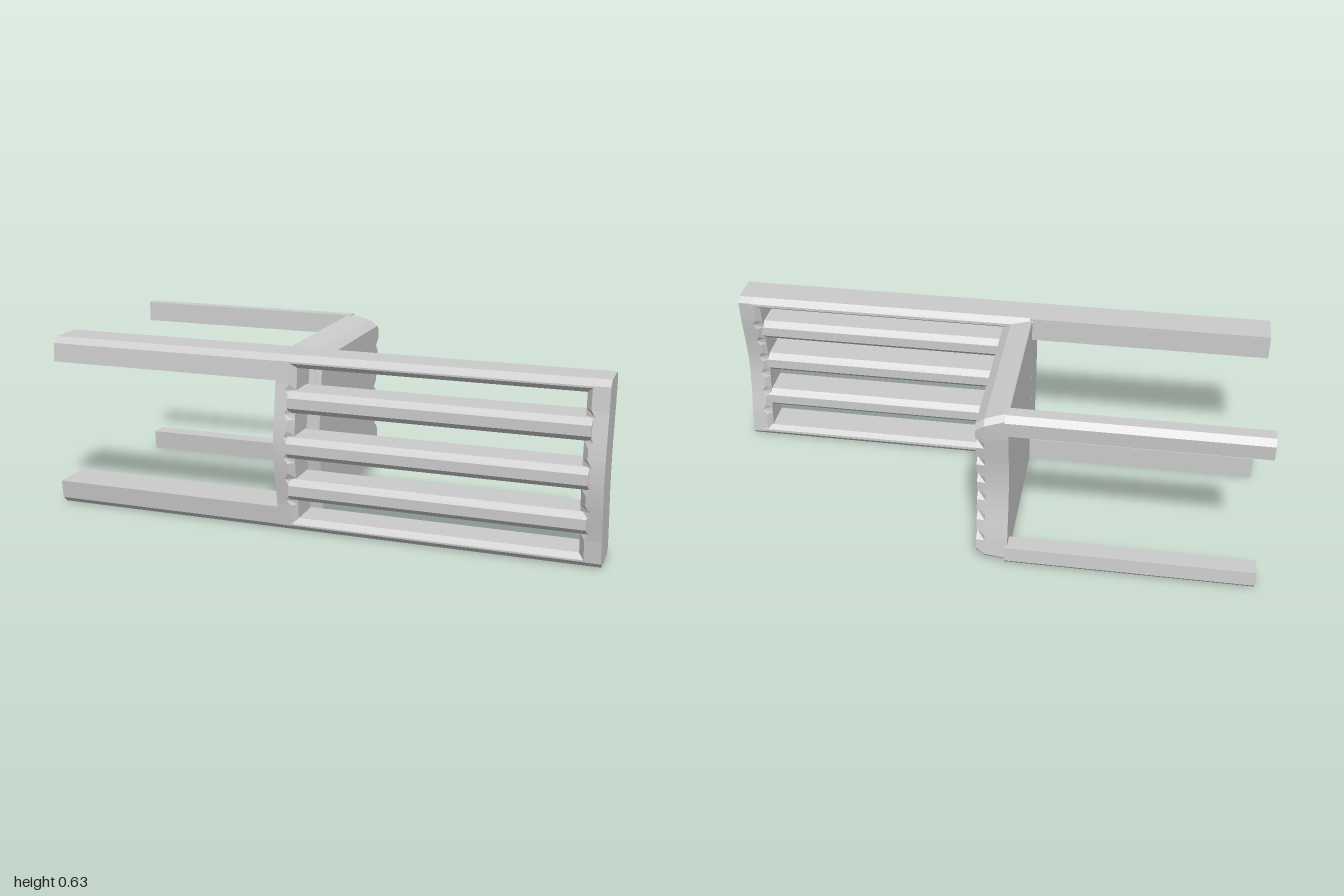
import * as THREE from 'three';

const H = 0.633, MID = H / 2;
const NOTCHES = [0.12, 0.2, 0.28, 0.354, 0.434, 0.514];
const material = new THREE.MeshStandardMaterial({ color: 0xcccccc, flatShading: true });

// Gentle bow across the width, shared by the seat front, rails and slats
const bow = y => 0.018 * (1 + Math.cos(Math.PI * Math.min(1, Math.abs(y - MID) / MID)));
const isNotch = y => NOTCHES.some(n => Math.abs(n - y) < 0.005);

// Solid through rings of [x, y, z] points, ordered along +x, with flat end caps
function loft(name, rings) {
  const flat = r => r.map(p => new THREE.Vector2(p[1], p[2]));
  if (THREE.ShapeUtils.area(flat(rings[0])) < 0) rings = rings.map(r => [...r].reverse());
  const pos = [];
  const tri = (...pts) => pts.forEach(p => pos.push(...p));
  for (let k = 0; k + 1 < rings.length; k++) {
    const a = rings[k], b = rings[k + 1];
    a.forEach((p, i) => {
      const j = (i + 1) % a.length;
      tri(p, a[j], b[j]);
      tri(p, b[j], b[i]);
    });
  }
  const first = rings[0], last = rings[rings.length - 1];
  THREE.ShapeUtils.triangulateShape(flat(first), []).forEach(f => tri(first[f[0]], first[f[2]], first[f[1]]));
  THREE.ShapeUtils.triangulateShape(flat(last), []).forEach(f => tri(last[f[0]], last[f[1]], last[f[2]]));
  const g = new THREE.BufferGeometry();
  g.setAttribute('position', new THREE.Float32BufferAttribute(pos, 3));
  g.computeVertexNormals();
  const mesh = new THREE.Mesh(g, material);
  mesh.name = name;
  return mesh;
}

// Straight bar along x with a [y, z] cross-section
const bar = (name, x0, x1, section) =>
  loft(name, [x0, x1].map(x => section.map(([y, z]) => [x, y, z])));

// Sample heights along a bowed edge, with points around every notch
const edgeYs = inset => [inset, ...NOTCHES.flatMap(n => [n - 0.022, n, n + 0.022]), H - inset];

// Seat outline; the front edge bows inward and may be notched
function seatRing(x, inset, front, notch) {
  const rear = [inset, 0.15, 0.23, MID, 0.4, 0.48, H - inset];
  return [
    [x, inset, front + 0.02],
    ...edgeYs(inset + 0.02).map(y => [x, y, front + bow(y) + (isNotch(y) ? notch : 0)]),
    [x, H - inset, front + 0.02],
    ...rear.reverse().map(y => [x, y, 0.225 + bow(y)]),
  ];
}

// Rail outline; notches push points of the ring along x
function railRing(x, inset, notch) {
  const edge = z => edgeYs(0.02).map(y => [x + (isNotch(y) ? notch : 0), y, z + bow(y)]);
  const front = 0.385 - inset, back = 0.225 + inset;
  return [
    [x, 0, back + 0.02],
    [x, 0, front - 0.023],
    ...edge(front),
    [x, H, front - 0.023],
    [x, H, back + 0.02],
    ...edge(back).reverse(),
  ];
}

export function createModel() {
  const group = new THREE.Group();
  group.name = 'chairOnItsSide';

  // Seat with bevelled sides and notched front edge
  group.add(loft('seat', [
    seatRing(-0.13, 0, -0.407, 0),
    seatRing(-0.05, 0.021, -0.42, 0),
    seatRing(-0.02, 0.043, -0.418, 0.026),
  ]));

  // Rails of the backrest, bevelled towards the slats
  group.add(loft('lowerRail', [
    railRing(-0.13, 0, 0), railRing(-0.08, 0, -0.014), railRing(-0.06, 0.022, 0),
  ]));
  group.add(loft('topRail', [
    railRing(0.925, 0.022, 0), railRing(0.943, 0, 0.014), railRing(1, 0, 0),
  ]));

  // Legs and stiles, mirrored across the width
  const stile = [[0.612, 0.225], [H, 0.245], [H, 0.362], [0.612, 0.385],
    [0.606, 0.385], [0.588, 0.365], [0.588, 0.245], [0.602, 0.225]];
  const rearLeg = [[0.545, 0.238], [H, 0.238], [H, 0.362], [0.612, 0.385], [0.545, 0.392]];
  const frontLeg = [[0.558, -0.416], [0.612, -0.42], [H, -0.4], [H, -0.355], [0.558, -0.35]];
  for (const side of ['right', 'left']) {
    const place = s => side === 'right' ? s : s.map(([y, z]) => [H - y, z]);
    group.add(bar(side + 'Stile', -0.1, 0.96, place(stile)));
    group.add(bar(side + 'RearLeg', -1, -0.12, place(rearLeg)));
    group.add(bar(side + 'FrontLeg', -1, -0.12, place(frontLeg)));
  }

  // Three bevelled slats
  [0.16, MID, 0.474].forEach((y, i) => {
    const b = bow(y);
    const half = [[0.018, 0.24], [0.038, 0.262], [0.038, 0.376], [0.018, 0.398]];
    const section = [
      ...half.map(([w, z]) => [y + w, z + b]),
      ...[...half].reverse().map(([w, z]) => [y - w, z + b]),
    ];
    group.add(bar('slat' + (i + 1), -0.08, 0.95, section));
  });

  return group;
}
